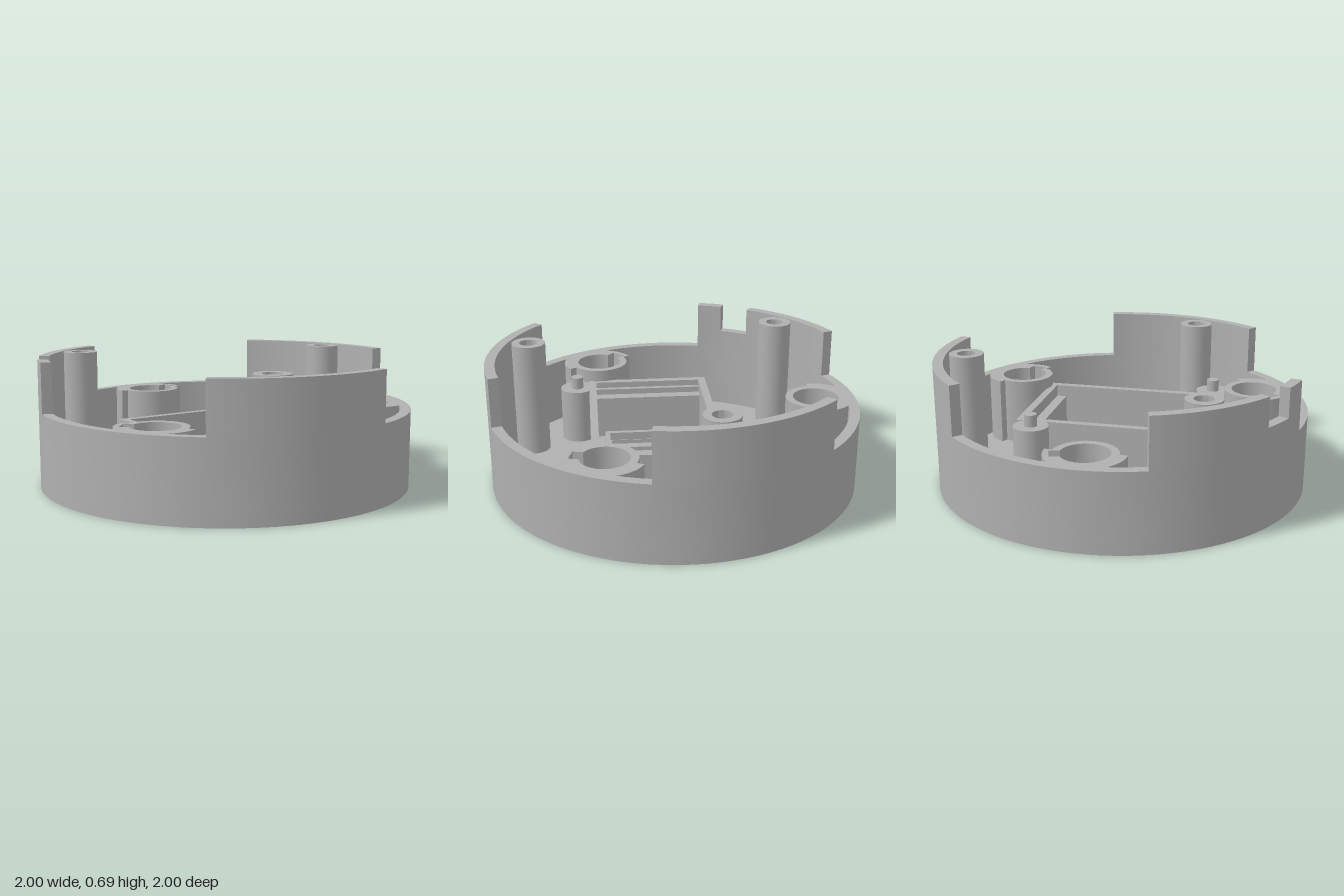
import * as THREE from 'three';
import { toCreasedNormals } from 'three/addons/utils/BufferGeometryUtils.js';

const FLOOR = 0.05, RIM = 0.42, TOP = 0.685, BOX = 0.355, INNER = 0.945;
const rad = THREE.MathUtils.degToRad;

export function createModel() {
  const model = new THREE.Group();
  const plastic = new THREE.MeshStandardMaterial({ color: 0xb0b0b0 });
  plastic.name = 'grey plastic';

  const add = (name, geometry) => {
    const mesh = new THREE.Mesh(geometry, plastic);
    mesh.name = name;
    model.add(mesh);
    return mesh;
  };
  // Plan shapes use x and -z, and are raised from y0 to y1
  const raise = (name, shape, y0, y1, segments = 48) => {
    const g = new THREE.ExtrudeGeometry(shape, { depth: y1 - y0, bevelEnabled: false, curveSegments: segments });
    g.rotateX(-Math.PI / 2);
    g.translate(0, y0, 0);
    return add(name, toCreasedNormals(g, rad(30)));
  };
  const circle = (x, z, r, Type = THREE.Path) => new Type().absarc(x, -z, r, 0, Math.PI * 2, false);
  const rect = (x0, x1, z0, z1, Type = THREE.Path) => new Type([
    new THREE.Vector2(x0, -z1), new THREE.Vector2(x1, -z1),
    new THREE.Vector2(x1, -z0), new THREE.Vector2(x0, -z0),
  ]).closePath();
  const block = (name, x0, x1, y0, y1, z0, z1) => {
    const mesh = add(name, new THREE.BoxGeometry(x1 - x0, y1 - y0, z1 - z0));
    mesh.position.set((x0 + x1) / 2, (y0 + y1) / 2, (z0 + z1) / 2);
  };

  // Three keyed sockets, evenly turned around the centre
  const sockets = [90, 210, 330].map((deg) => {
    const out = rad(deg);
    return { out, x: 0.785 * Math.cos(out), y: 0.785 * Math.sin(out) };
  });
  const keyedHole = ({ out, x, y }) => {
    const key = out - rad(75), half = Math.asin(0.04 / 0.125);
    const c = Math.cos(key), s = Math.sin(key);
    const path = new THREE.Path();
    path.absarc(x, y, 0.125, key + half, key - half + Math.PI * 2, false);
    path.lineTo(x + 0.172 * c + 0.04 * s, y + 0.172 * s - 0.04 * c);
    path.lineTo(x + 0.172 * c - 0.04 * s, y + 0.172 * s + 0.04 * c);
    path.closePath();
    return path;
  };

  // Floor with vent slots, pin holes and socket openings
  const floor = circle(0, 0, 1, THREE.Shape);
  for (let i = -3; i <= 3; i++) {
    const x = i * 0.1035;
    floor.holes.push(rect(x - 0.025, x + 0.025, -0.11, 0.335));
  }
  for (let i = 0; i < 3; i++) floor.holes.push(circle(0.612, -0.36 + i * 0.075, 0.022));
  for (let i = 0; i < 5; i++) floor.holes.push(circle(0.09 + i * 0.065, 0.55, 0.023));
  sockets.forEach((s) => floor.holes.push(keyedHole(s)));
  raise('floor', floor, 0, FLOOR);

  // Outer wall
  const wall = circle(0, 0, 1, THREE.Shape);
  wall.holes.push(circle(0, 0, INNER));
  raise('outerWall', wall, FLOOR, RIM);

  // Raised wall sections, one with a notch
  const arc = (name, a0, a1, y1) => {
    const shape = new THREE.Shape();
    shape.absarc(0, 0, 1, rad(a0), rad(a1), false);
    shape.absarc(0, 0, INNER, rad(a1), rad(a0), true);
    shape.closePath();
    raise(name, shape, RIM, y1, 24);
  };
  arc('rightRaisedWall', -10.8, 46, TOP);
  arc('frontRaisedWall', 229.8, 285.7, TOP);
  arc('backRaisedWall', 109.8, 146.8, TOP);
  arc('notchSill', 146.8, 157, 0.53);
  arc('notchPost', 157, 165.7, TOP);

  // Socket tubes, thicker on the side nearest the wall
  sockets.forEach((s) => {
    const a0 = s.out - rad(94), a1 = s.out + rad(94);
    const tube = new THREE.Shape();
    tube.absarc(s.x, s.y, 0.205, a0, a1, false);
    tube.absarc(s.x, s.y, 0.165, a1, a0 + Math.PI * 2, false);
    tube.closePath();
    tube.holes.push(keyedHole(s));
    raise('socketTube', tube, FLOOR, RIM, 32);
  });

  // Hollow screw posts
  for (const [x, z] of [[-0.54, -0.645], [0.825, -0.15], [-0.285, 0.785]]) {
    const profile = [[0.093, FLOOR], [0.093, TOP], [0.05, TOP], [0.05, 0.3], [0, 0.3]]
      .map(([r, y]) => new THREE.Vector2(r, y));
    const g = new THREE.LatheGeometry(profile, 32).toNonIndexed();
    add('screwPost', toCreasedNormals(g, rad(30))).position.set(x, 0, z);
  }

  // Bosses with locating pegs
  for (const [x, z] of [[0.425, -0.3], [-0.43, 0.525]]) {
    const boss = add('pegBoss', new THREE.CylinderGeometry(0.095, 0.095, BOX - FLOOR, 32));
    boss.position.set(x, (BOX + FLOOR) / 2, z);
    const peg = add('locatingPeg', new THREE.CylinderGeometry(0.034, 0.034, RIM - BOX, 24));
    peg.position.set(x, (RIM + BOX) / 2, z);
  }

  // Central compartment with stepped ends
  const box = rect(-0.532, 0.53, -0.23, 0.457, THREE.Shape);
  box.holes.push(rect(-0.49, 0.487, -0.188, 0.415));
  raise('compartmentWall', box, FLOOR, BOX);
  block('leftUpperStep', -0.49, -0.462, FLOOR, 0.322, -0.188, 0.415);
  block('leftLowerStep', -0.462, -0.4, FLOOR, 0.29, -0.188, 0.415);
  block('rightStep', 0.432, 0.487, FLOOR, 0.29, -0.188, 0.415);

  // Low frame around the vent slots
  const frame = rect(-0.368, 0.366, -0.147, 0.372, THREE.Shape);
  frame.holes.push(rect(-0.34, 0.34, -0.115, 0.345));
  raise('ventFrame', frame, FLOOR, 0.095);

  return model;
}
